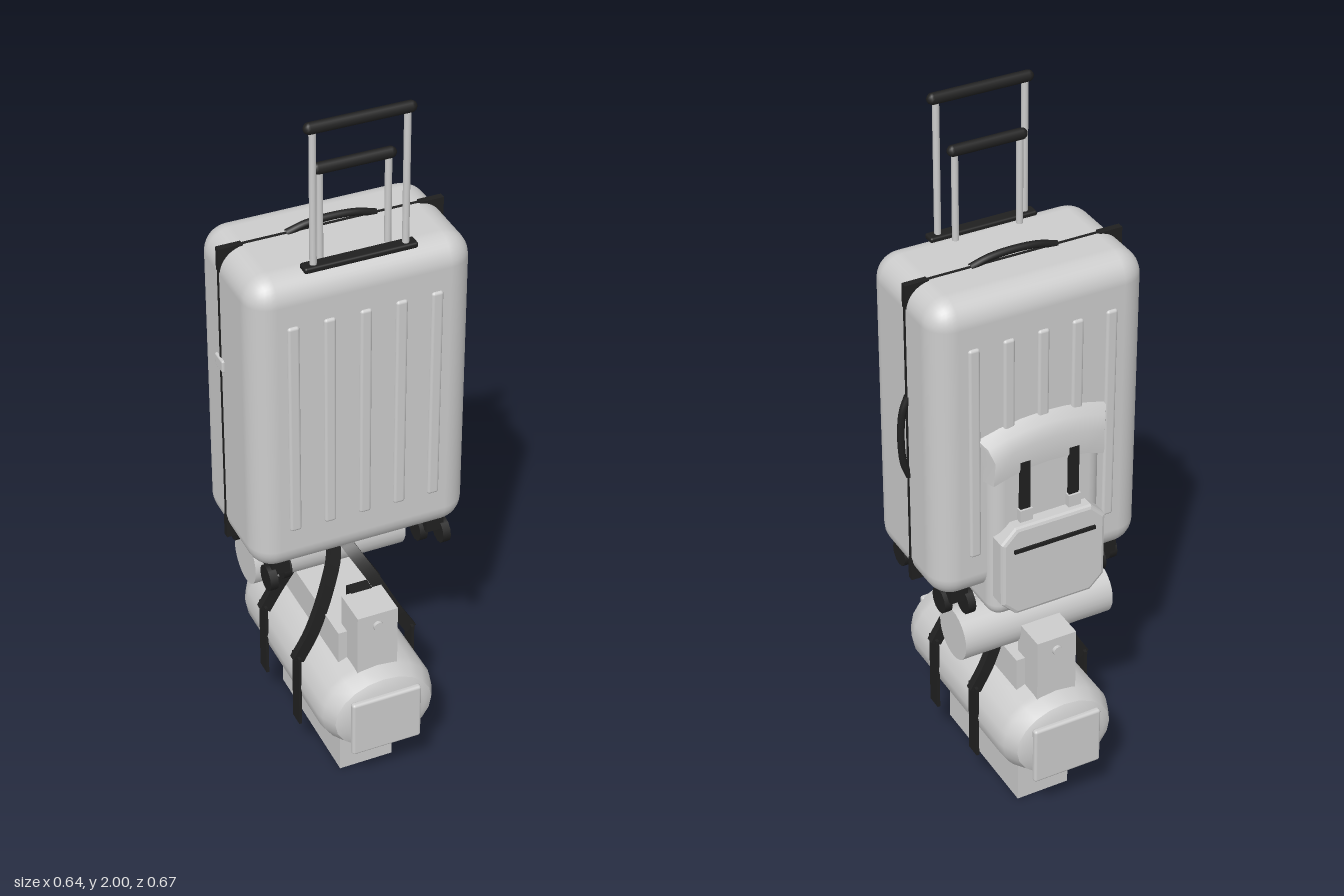
import * as THREE from 'three';
import { RoundedBoxGeometry } from 'three/addons/geometries/RoundedBoxGeometry.js';
import { toCreasedNormals } from 'three/addons/utils/BufferGeometryUtils.js';

const CX = -0.013; // centre line of the stack

export function createModel() {
  const model = new THREE.Group();
  const grey = new THREE.MeshStandardMaterial({ color: 0xcccccc });
  grey.name = 'light grey';
  const black = new THREE.MeshStandardMaterial({ color: 0x202020 });
  black.name = 'black';

  const add = (name, geo, mat, x = 0, y = 0, z = 0) => {
    const m = new THREE.Mesh(geo, mat);
    m.name = name;
    m.position.set(CX + x, y, z);
    model.add(m);
    return m;
  };
  const box = (name, mat, w, h, d, x, y, z) => add(name, new THREE.BoxGeometry(w, h, d), mat, x, y, z);
  const round = (name, mat, w, h, d, r, x, y, z) => add(name, new RoundedBoxGeometry(w, h, d, 3, r), mat, x, y, z);
  const tube = (name, pts, r, mat) => add(name, new THREE.TubeGeometry(
    new THREE.CatmullRomCurve3(pts.map(p => new THREE.Vector3(...p))), 20, r, 8), mat);
  const bar = (name, len, r, mat, x, y, z) => {
    add(name, new THREE.CapsuleGeometry(r, len - 2 * r, 4, 10).rotateZ(Math.PI / 2), mat, x, y, z);
  };

  // Suitcase shell with raised ribs on both faces
  add('suitcaseShell', new RoundedBoxGeometry(0.6, 0.88, 0.36, 4, 0.07), grey, 0, 1.164, 0);
  for (const s of [-1, 1])
    for (let i = -2; i <= 2; i++)
      round('rib', grey, 0.032, 0.62, 0.02, 0.008, i * 0.096, 1.165, s * 0.177);

  // Zip seam and corner guards
  const seamZ = -0.028;
  box('zipSeam', black, 0.604, 0.882, 0.009, 0, 1.164, seamZ);
  for (const sx of [-1, 1])
    for (const sy of [-1, 1])
      box('cornerGuard', black, 0.065, 0.065, 0.018, sx * 0.27, 1.164 + sy * 0.41, seamZ);

  // Carry handles and lock
  tube('topHandle', [[-0.12, 1.603, seamZ], [-0.07, 1.617, seamZ], [0, 1.622, seamZ],
    [0.07, 1.617, seamZ], [0.12, 1.603, seamZ]], 0.01, black);
  tube('sideHandle', [[0.297, 1.285, seamZ], [0.313, 1.24, seamZ], [0.319, 1.165, seamZ],
    [0.313, 1.09, seamZ], [0.297, 1.045, seamZ]], 0.01, black);
  round('lock', grey, 0.02, 0.035, 0.05, 0.005, -0.297, 1.27, -0.03);

  // Telescopic trolley handles
  round('trolleyBase', black, 0.3, 0.016, 0.036, 0.006, 0, 1.606, 0.14);
  bar('upperGrip', 0.29, 0.015, black, 0, 1.985, 0.141);
  bar('lowerGrip', 0.22, 0.015, black, 0, 1.852, 0.107);
  for (const s of [-1, 1]) {
    add('outerPole', new THREE.CylinderGeometry(0.009, 0.009, 0.38, 10), grey, s * 0.122, 1.79, 0.141);
    add('innerPole', new THREE.CylinderGeometry(0.009, 0.009, 0.25, 10), grey, s * 0.09, 1.722, 0.107);
  }

  // Twin wheeled casters
  for (const sx of [-1, 1])
    for (const sz of [-1, 1]) {
      const x = sx * 0.22, z = sz * 0.115;
      box('casterMount', black, 0.05, 0.04, 0.06, x, 0.715, z);
      for (const o of [-1, 1])
        add('casterWheel', new THREE.CylinderGeometry(0.036, 0.036, 0.022, 12).rotateZ(Math.PI / 2),
          black, x + o * 0.026, 0.682, z + o * sx * 0.016);
    }

  // Backpack strapped to the rear of the suitcase
  round('packBody', grey, 0.32, 0.54, 0.19, 0.04, 0, 0.92, -0.115);
  const lidShape = new THREE.Shape([[0.1, 1.1], [0.218, 1.11], [0.222, 1.18], [0.205, 1.215], [0.175, 1.24], [0.1, 1.24]]
    .map(p => new THREE.Vector2(...p)));
  const lidGeo = new THREE.ExtrudeGeometry(lidShape, { depth: 0.38, bevelEnabled: false, steps: 6 });
  lidGeo.translate(0, 0, -0.19).rotateY(Math.PI / 2);
  const lp = lidGeo.attributes.position;
  for (let i = 0; i < lp.count; i++) { // narrow outwards and droop at the ends
    const x = lp.getX(i), z = lp.getZ(i);
    if (z < -0.17) lp.setX(i, x * (1 - (-z - 0.17) * 3.5));
    lp.setY(i, lp.getY(i) - 0.8 * x * x);
  }
  add('packLid', toCreasedNormals(lidGeo, 0.6), grey);
  const c = 0.035, w = 0.14, h = 0.125;
  const pocket = new THREE.Shape([[-w + c, -h], [w - c, -h], [w, -h + c], [w, h - c], [w - c, h],
    [-w + c, h], [-w, h - c], [-w, -h + c]].map(p => new THREE.Vector2(...p)));
  add('packPocket', new THREE.ExtrudeGeometry(pocket, { depth: 0.08, bevelSize: 0.01, bevelThickness: 0.01, bevelSegments: 2 }),
    grey, 0, 0.817, -0.238);
  box('pocketZip', black, 0.235, 0.01, 0.008, 0, 0.885, -0.25);
  for (const s of [-1, 1]) {
    box('packStrap', black, 0.028, 0.2, 0.01, s * 0.07, 1.03, -0.216);
    box('packBuckle', grey, 0.036, 0.035, 0.018, s * 0.07, 0.97, -0.218);
  }

  // Rolled sleeping mat
  add('sleepingRoll', new THREE.CylinderGeometry(0.074, 0.074, 0.44, 28).rotateZ(Math.PI / 2), grey, 0, 0.564, -0.105);

  // Barrel shaped duffel bag with end panels
  const profile = [[0, -0.322], [0.115, -0.322], [0.14, -0.31], [0.16, -0.27], [0.165, -0.25],
    [0.165, 0.25], [0.16, 0.27], [0.14, 0.31], [0.115, 0.322], [0, 0.322]].map(p => new THREE.Vector2(...p));
  add('duffelBody', toCreasedNormals(new THREE.LatheGeometry(profile, 20).rotateX(Math.PI / 2).scale(1, 0.79, 1), 0.6),
    grey, 0, 0.275, 0);
  for (const s of [-1, 1])
    round('duffelEndPanel', grey, 0.2, 0.175, 0.02, 0.008, 0, 0.258, s * 0.325);

  // Plinth, upper case and its end blocks
  box('plinth', grey, 0.155, 0.2, 0.4, 0, 0.1, 0);
  box('upperCase', grey, 0.165, 0.115, 0.4, 0, 0.428, 0);
  for (const s of [-1, 1]) {
    box('endBlock', grey, 0.115, 0.2, 0.105, 0, 0.478, s * 0.215);
    box('endBlockBand', black, 0.06, 0.1, 0.035, 0, 0.53, s * 0.148);
    add('endBlockKnob', new THREE.CylinderGeometry(0.014, 0.014, 0.014, 12).rotateX(Math.PI / 2), grey, 0, 0.54, s * 0.27);
  }

  // Duffel straps: hanging webbing joined by a slanted carrying loop on each side
  for (const s of [-1, 1]) {
    for (const z of [-0.115, 0.115])
      box('duffelStrap', black, 0.008, 0.23, 0.044, s * 0.166, 0.26, z);
    const path = new THREE.CatmullRomCurve3([[0.166, 0.36, 0.115], [0.12, 0.44, 0.112], [0.065, 0.55, 0.085],
      [0.025, 0.62, 0.04], [0.016, 0.637, 0], [0.025, 0.62, -0.04], [0.065, 0.55, -0.085],
      [0.12, 0.44, -0.112], [0.166, 0.36, -0.115]].map(p => new THREE.Vector3(s * p[0], p[1], p[2])));
    const wide = new THREE.Vector3(s * 0.87, 0.49, 0), N = 32, pos = [], idx = [];
    for (let i = 0; i <= N; i++) {
      const p = path.getPoint(i / N);
      const thin = path.getTangent(i / N).cross(wide).normalize();
      for (const [a, b] of [[-1, -1], [1, -1], [1, 1], [-1, 1]]) {
        const v = p.clone().addScaledVector(wide, a * 0.017).addScaledVector(thin, b * 0.011);
        pos.push(v.x, v.y, v.z);
      }
      if (i < N)
        for (let k = 0; k < 4; k++) {
          const a = i * 4 + k, b = i * 4 + (k + 1) % 4;
          idx.push(a, a + 4, b, b, a + 4, b + 4);
        }
    }
    idx.push(0, 1, 2, 0, 2, 3, N * 4, N * 4 + 2, N * 4 + 1, N * 4, N * 4 + 3, N * 4 + 2);
    const geo = new THREE.BufferGeometry();
    geo.setAttribute('position', new THREE.Float32BufferAttribute(pos, 3));
    geo.setIndex(idx);
    black.side = THREE.DoubleSide;
    add('carryLoop', toCreasedNormals(geo, 0.6), black);
  }
  return model;
}
